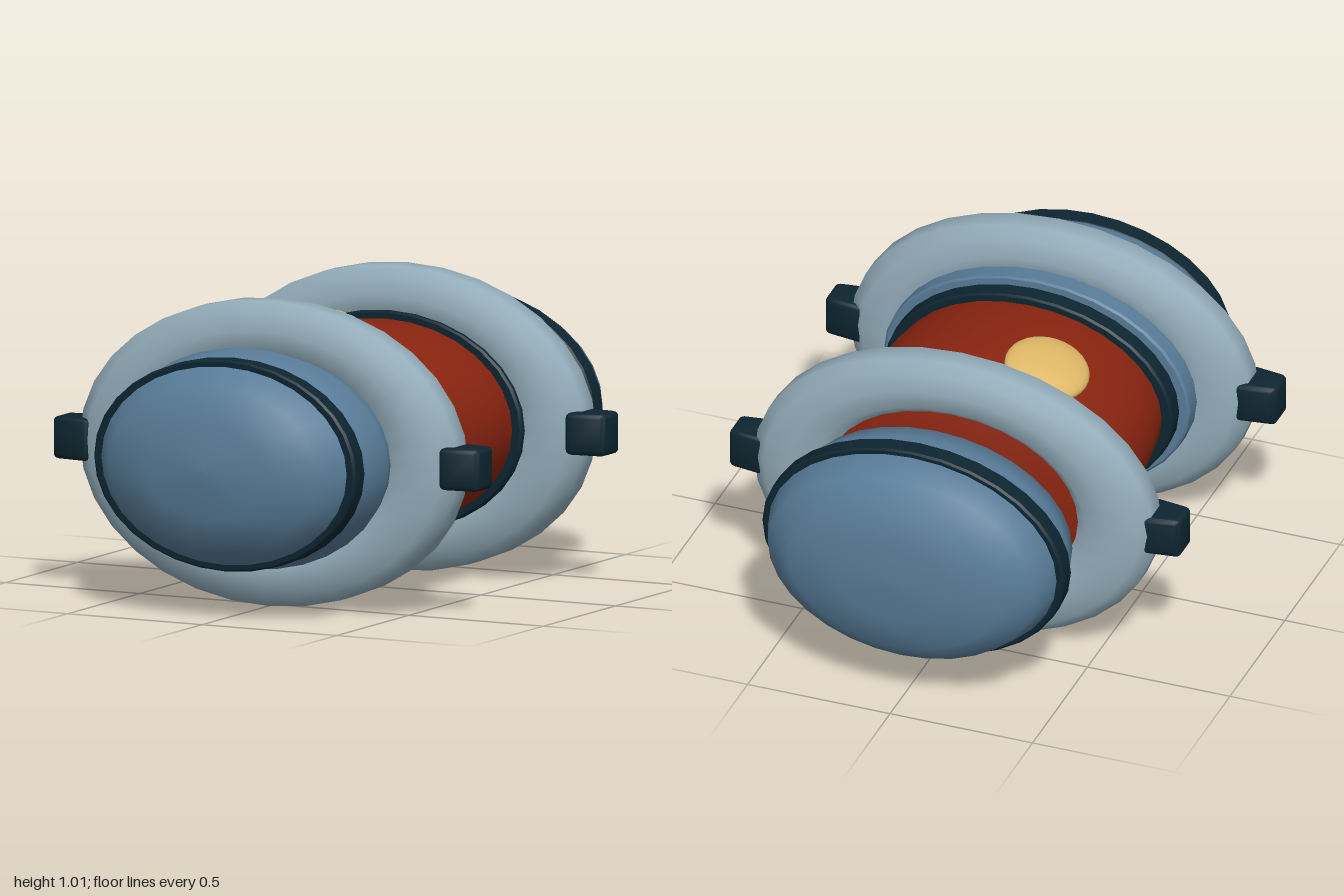
import * as THREE from 'three';
import { toCreasedNormals } from 'three/addons/utils/BufferGeometryUtils.js';
import { RoundedBoxGeometry } from 'three/addons/geometries/RoundedBoxGeometry.js';

const CENTRE_Y = 0.51;
const FLATTEN = 0.72; // every hull section is an ellipse, wider than tall

function paint(name, color) {
  const m = new THREE.MeshStandardMaterial({ color });
  m.name = name;
  return m;
}

// Elliptical turned body along z; profile is [radius, z] with z rising on the outside
function turned(profile, creased = false) {
  let g = new THREE.LatheGeometry(profile.map(([r, z]) => new THREE.Vector2(r, z)), 32);
  g.rotateX(Math.PI / 2);
  g.scale(1, FLATTEN, 1);
  if (creased) g = toCreasedNormals(g, 0.6);
  return g;
}

// Bevelled collar between two z positions
function collar(r, z0, z1, inner) {
  const b = 0.008;
  return turned([[inner, z0], [r - b, z0], [r, z0 + b], [r, z1 - b], [r - b, z1], [inner, z1]], true);
}

export function createModel() {
  const model = new THREE.Group();
  model.name = 'spacecraft';

  const blue = paint('steelBlue', 0x587c98);
  const grey = paint('paleGrey', 0x93adba);
  const red = paint('rustRed', 0x8a2410);
  const dark = paint('darkTeal', 0x0d2530);
  const gold = paint('goldGlass', 0xe2ba68);

  const add = (name, geometry, material, x = 0, y = CENTRE_Y, z = 0) => {
    const mesh = new THREE.Mesh(geometry, material);
    mesh.name = name;
    mesh.position.set(x, y, z);
    model.add(mesh);
    return mesh;
  };

  // Domed end capsules
  add('frontCapsule', turned([
    [0, 0.43], [0.4, 0.43], [0.475, 0.58], [0.508, 0.665], [0.488, 0.77],
    [0.455, 0.85], [0.385, 0.93], [0.22, 0.984], [0, 0.997],
  ]), blue);
  add('rearCapsule', turned([
    [0, -1], [0.2, -0.993], [0.37, -0.965], [0.468, -0.9], [0.505, -0.8],
    [0.508, -0.675], [0.48, -0.585], [0.35, -0.487], [0, -0.487],
  ]), blue);
  add('frontCapsuleBand', collar(0.487, 0.775, 0.848, 0.4), dark);
  add('rearCapsuleBand', collar(0.53, -0.795, -0.72, 0.45), dark);

  // Barrel-shaped middle hull and its collars
  add('middleHull', turned([
    [0, -0.38], [0.44, -0.36], [0.47, -0.27], [0.488, -0.13], [0.49, 0],
    [0.488, 0.13], [0.468, 0.26], [0.44, 0.4], [0, 0.43],
  ]), red);
  add('frontHullCollar', collar(0.505, 0.258, 0.33, 0.4), dark);
  add('frontBlueCollar', collar(0.537, 0.33, 0.408, 0.4), blue);
  add('rearHullCollar', collar(0.505, -0.35, -0.272, 0.4), dark);

  // Large outer rings
  const ringGeometry = turned([
    [0.44, -0.05], [0.485, -0.087], [0.57, -0.09], [0.655, -0.073], [0.702, -0.038],
    [0.702, 0.038], [0.655, 0.073], [0.57, 0.09], [0.485, 0.087], [0.44, 0.05], [0.44, -0.05],
  ]);
  add('frontRing', ringGeometry, grey, 0, CENTRE_Y, 0.502);
  add('rearRing', ringGeometry, grey, 0, CENTRE_Y, -0.381);

  // Side pods, narrowing towards their outer ends
  const podGeometry = new RoundedBoxGeometry(0.14, 0.14, 0.15, 2, 0.018);
  const p = podGeometry.attributes.position;
  for (let i = 0; i < p.count; i++) {
    const t = THREE.MathUtils.clamp((p.getX(i) + 0.07) / 0.14, 0, 1);
    p.setZ(i, p.getZ(i) * (1 - 0.3 * t));
  }
  const pods = toCreasedNormals(podGeometry, 0.7);
  for (const [end, z] of [['front', 0.51], ['rear', -0.363]]) {
    for (const [label, side] of [['Left', 1], ['Right', -1]]) {
      const pod = add(`${end}${label}Pod`, pods, dark, side * 0.722, CENTRE_Y, z);
      if (side < 0) pod.rotation.y = Math.PI;
    }
  }

  // Offset bubble window lying on the curve of the hull
  const dome = new THREE.SphereGeometry(1, 32, 20);
  dome.scale(0.142, 0.046, 0.163);
  const bubble = add('bubbleWindow', dome, gold, -0.19, 0.832, -0.065);
  bubble.rotation.z = 0.3;

  return model;
}
